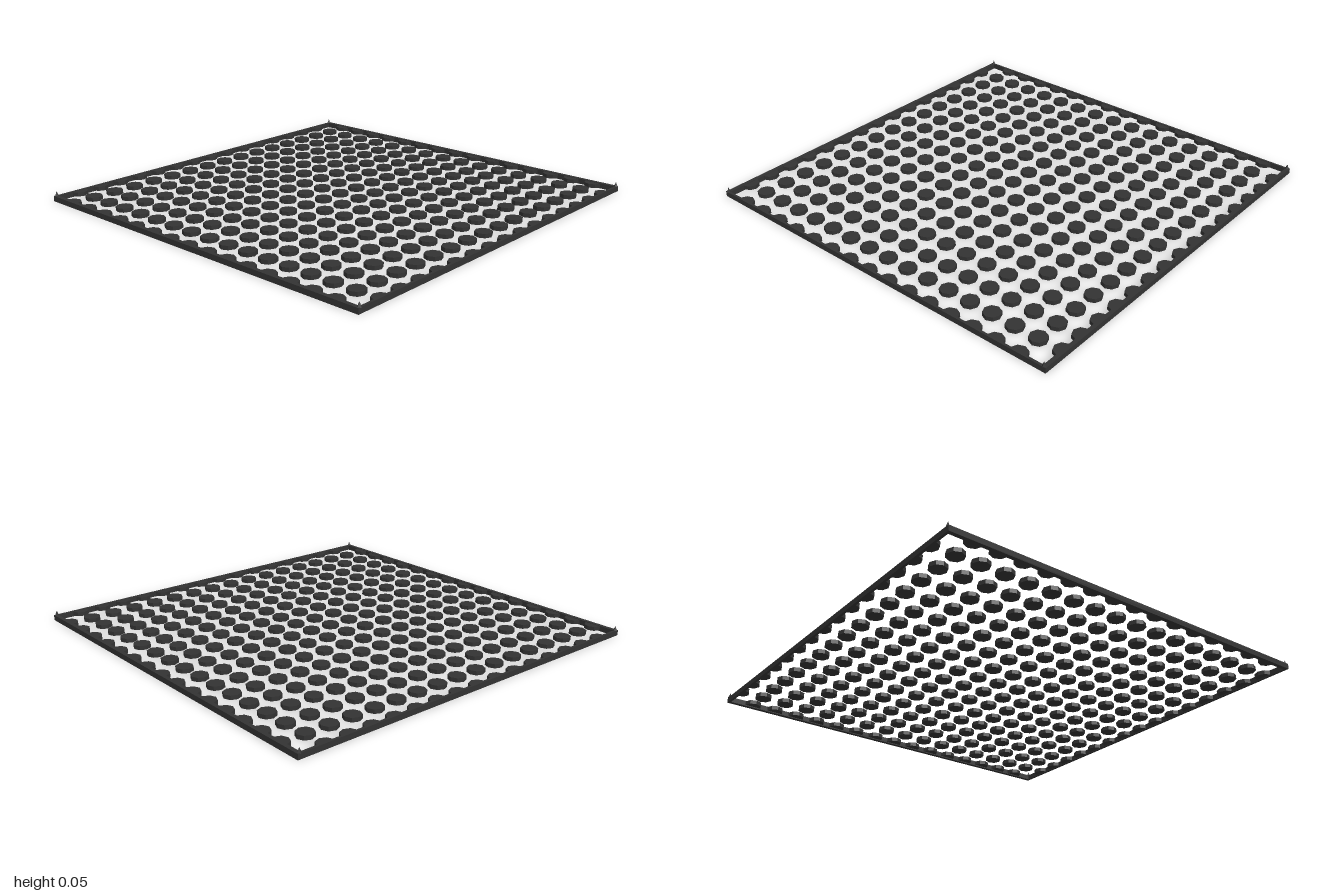
import * as THREE from 'three';
import { mergeGeometries } from 'three/addons/utils/BufferGeometryUtils.js';

export function createModel() {
  const model = new THREE.Group();
  const dark = new THREE.MeshStandardMaterial({ color: 0x333333, flatShading: true });

  const add = (name, geometry) => {
    const mesh = new THREE.Mesh(geometry, dark);
    mesh.name = name;
    model.add(mesh);
  };

  const PITCH = 0.1225, EDGE = 0.98, N = 7;
  const HEIGHT = 0.02, MID = 0.015, RADIUS = 0.042;

  // Eight-sided stud with its points on the axes; partial sweeps meet the frame
  const stud = (x, z, start = 0, sweep = Math.PI * 2) =>
    new THREE.CylinderGeometry(RADIUS, RADIUS, HEIGHT, sweep > 4 ? 8 : 4, 1, false, start, sweep)
      .translate(x, MID, z);

  // Regular field of studs
  const inner = [];
  const border = [];
  for (let i = -N; i <= N; i++) {
    for (let j = -N; j <= N; j++) inner.push(stud(i * PITCH, j * PITCH));
    // Half studs along the four edges
    const p = i * PITCH;
    border.push(
      stud(-EDGE, p, 0, Math.PI),
      stud(EDGE, p, Math.PI, Math.PI),
      stud(p, -EDGE, -Math.PI / 2, Math.PI),
      stud(p, EDGE, Math.PI / 2, Math.PI)
    );
  }
  add('studs', mergeGeometries(inner));
  add('edgeStuds', mergeGeometries(border));

  // Frame rails and pointed corner posts
  for (const s of [-1, 1]) {
    add(s > 0 ? 'frontRail' : 'backRail',
      new THREE.BoxGeometry(1.98, 0.027, 0.02).translate(0, 0.0135, s * 0.99));
    add(s > 0 ? 'leftRail' : 'rightRail',
      new THREE.BoxGeometry(0.012, 0.027, 1.97).translate(s * 0.984, 0.0135, 0));
    for (const t of [-1, 1]) {
      add('cornerSpike',
        new THREE.ConeGeometry(0.011, 0.025, 4).translate(s * 0.983, 0.0375, t * 0.987));
    }
  }
  return model;
}
